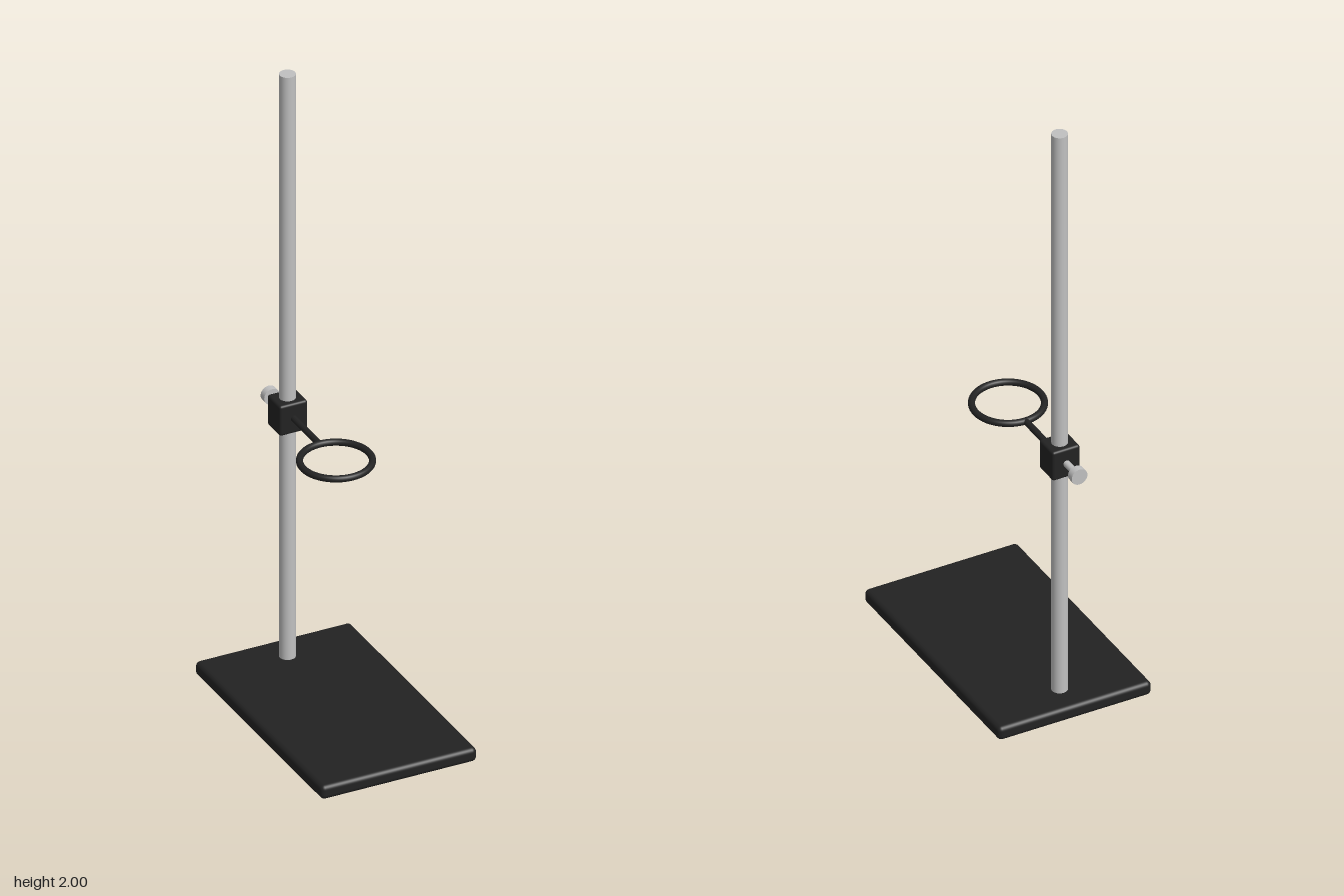
import * as THREE from 'three';
import { RoundedBoxGeometry } from 'three/addons/geometries/RoundedBoxGeometry.js';

const ROD_Z = -0.303;   // upright rod position
const CLAMP_Y = 0.864;  // height of clamp, ring and screw

export function createModel() {
  const stand = new THREE.Group();
  stand.name = 'ringStand';

  const black = new THREE.MeshStandardMaterial({ color: 0x222222 });
  black.name = 'black enamel';
  const steel = new THREE.MeshStandardMaterial({ color: 0xc0c0c0 });
  steel.name = 'steel';

  function add(name, geometry, material, x, y, z) {
    const mesh = new THREE.Mesh(geometry, material);
    mesh.name = name;
    mesh.position.set(x, y, z);
    stand.add(mesh);
    return mesh;
  }

  // Cylinder lying along z between two depths, at clamp height
  function addBar(name, material, radius, zBack, zFront) {
    const bar = new THREE.CylinderGeometry(radius, radius, zFront - zBack, 32);
    bar.rotateX(Math.PI / 2);
    return add(name, bar, material, 0, CLAMP_Y, (zBack + zFront) / 2);
  }

  // Base plate with softened edges
  add('base', new RoundedBoxGeometry(0.506, 0.046, 0.82, 4, 0.015), black, 0, 0.023, 0.009);

  // Upright rod
  const rodBottom = 0.03;
  const rodLength = 2 - rodBottom;
  add('rod', new THREE.CylinderGeometry(0.0245, 0.0245, rodLength, 32), steel,
    0, rodBottom + rodLength / 2, ROD_Z);

  // Clamp block around the rod
  add('clamp', new RoundedBoxGeometry(0.091, 0.1, 0.084, 3, 0.008), black, 0, CLAMP_Y, ROD_Z);

  // Support ring and the arm holding it
  const ring = new THREE.TorusGeometry(0.106, 0.0105, 16, 64);
  ring.rotateX(Math.PI / 2);
  add('ring', ring, black, 0, CLAMP_Y, 0.009);
  addBar('arm', black, 0.01, -0.27, -0.097);

  // Thumbscrew behind the clamp
  addBar('screwShaft', steel, 0.0105, -0.402, -0.34);
  addBar('screwKnob', steel, 0.026, -0.424, -0.401);

  return stand;
}
